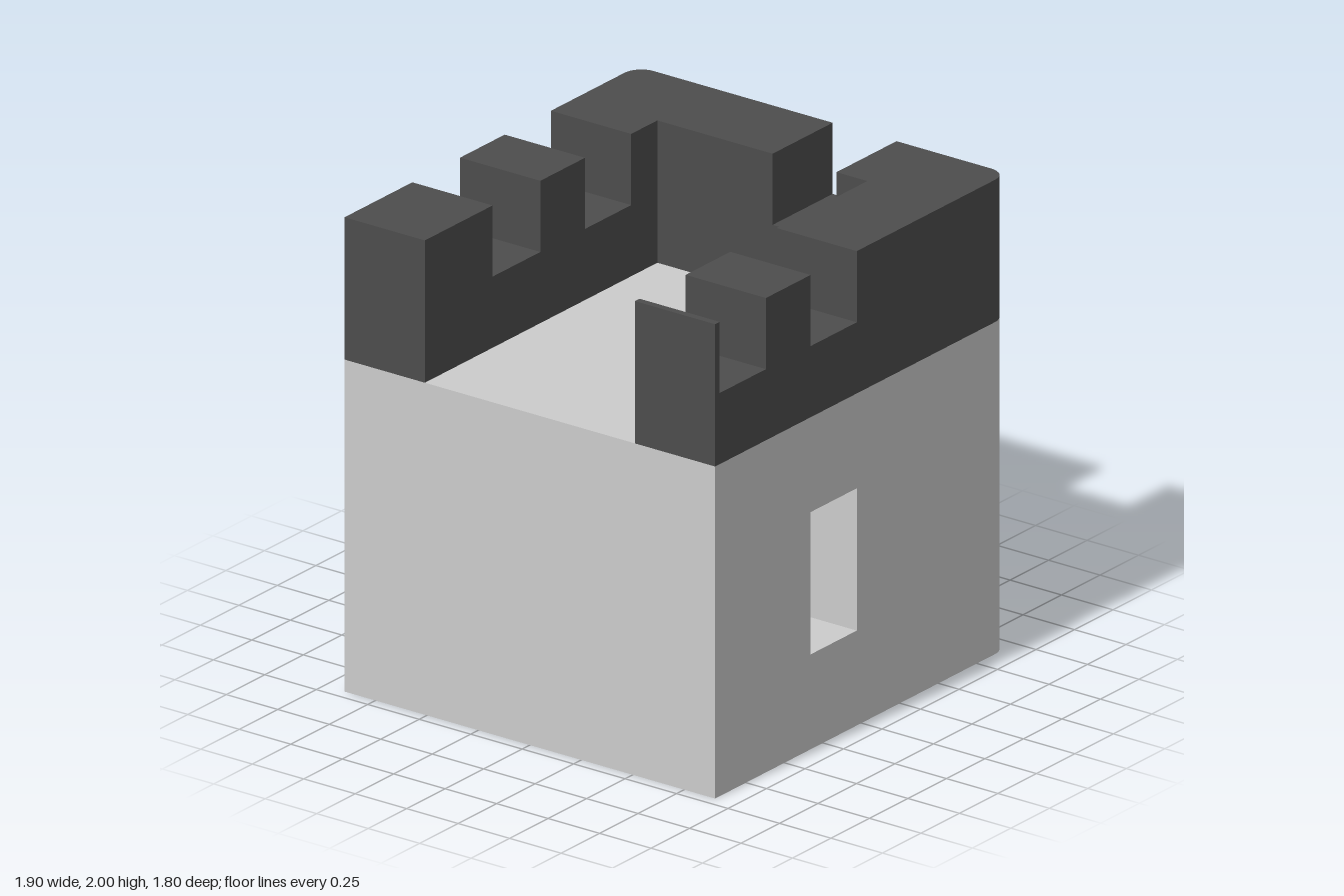
import * as THREE from 'three';
import { toCreasedNormals } from 'three/addons/utils/BufferGeometryUtils.js';

const X = 0.95, Z = 0.9;          // outer half extents
const IX = 0.56, IZ = 0.51;       // inner faces of the parapet
const R = 0.08;                   // radius of the two rounded corners
const FLOOR = 1.4, CRENEL = 1.7, TOP = 2;

// Rounded corner on the +x side; runs from the front/back wall round to the side wall.
function corner(side) {
  const pts = [];
  for (let i = 0; i <= 8; i++) {
    const a = (1 - i / 8) * Math.PI / 2;
    pts.push([X - R + R * Math.cos(a), side * (Z - R + R * Math.sin(a))]);
  }
  return pts;
}

// Extrudes a plan outline of [x, z] points from height y0 to y1.
function block(name, plan, y0, y1, material) {
  const shape = new THREE.Shape(plan.map(([x, z]) => new THREE.Vector2(x, -z)));
  const geo = new THREE.ExtrudeGeometry(shape, { depth: y1 - y0, bevelEnabled: false });
  geo.rotateX(-Math.PI / 2).translate(0, y0, 0);
  const mesh = new THREE.Mesh(toCreasedNormals(geo, 0.5), material);
  mesh.name = name;
  return mesh;
}

const rect = (x0, x1, z0, z1) => [[x0, z0], [x1, z0], [x1, z1], [x0, z1]];

export function createModel() {
  const stone = new THREE.MeshStandardMaterial({ color: 0xcccccc });
  const dark = new THREE.MeshStandardMaterial({ color: 0x4d4d4d });
  const model = new THREE.Group();
  model.name = 'castleTower';

  // Tower body in three courses; the middle one has the window recess
  const body = new THREE.Group();
  body.name = 'body';
  const round = [...corner(1), ...corner(-1).reverse()];
  const solid = [[-X, Z], ...round, [-X, -Z]];
  const [w0, w1, wz] = [-0.33, -0.03, 0.3];
  const recessed = [[-X, Z], [w0, Z], [w0, wz], [w1, wz], [w1, Z], ...round, [-X, -Z]];
  body.add(
    block('lowerWall', solid, 0, 0.4, stone),
    block('windowWall', recessed, 0.4, 1, stone),
    block('upperWall', solid, 1, FLOOR, stone),
  );

  // Parapet: U-shaped wall, open on the -x side
  const parapet = new THREE.Group();
  parapet.name = 'parapet';
  const uPlan = [...solid, [-X, -IZ], [IX, -IZ], [IX, IZ], [-X, IZ]];
  parapet.add(block('parapetWall', uPlan, FLOOR, CRENEL, dark));

  // Straight merlons on the front and back walls
  const straight = [
    ['frontMerlon', -X, -0.92, IZ, Z], ['frontMerlon', -0.62, -0.33, IZ, Z],
    ['backMerlon', -X, -0.51, -Z, -IZ], ['backMerlon', -0.2, 0.09, -Z, -IZ],
  ];
  for (const [name, ...r] of straight) parapet.add(block(name, rect(...r), CRENEL, TOP, dark));

  // L-shaped merlons wrapping the rounded corners
  for (const [name, s, x, z] of [['frontCornerMerlon', 1, -0.03, 0.36], ['backCornerMerlon', -1, 0.39, 0.05]]) {
    const plan = [[x, s * Z], ...corner(s), [X, z], [IX, z], [IX, s * IZ], [x, s * IZ]];
    parapet.add(block(name, plan, CRENEL, TOP, dark));
  }

  model.add(body, parapet);
  return model;
}
